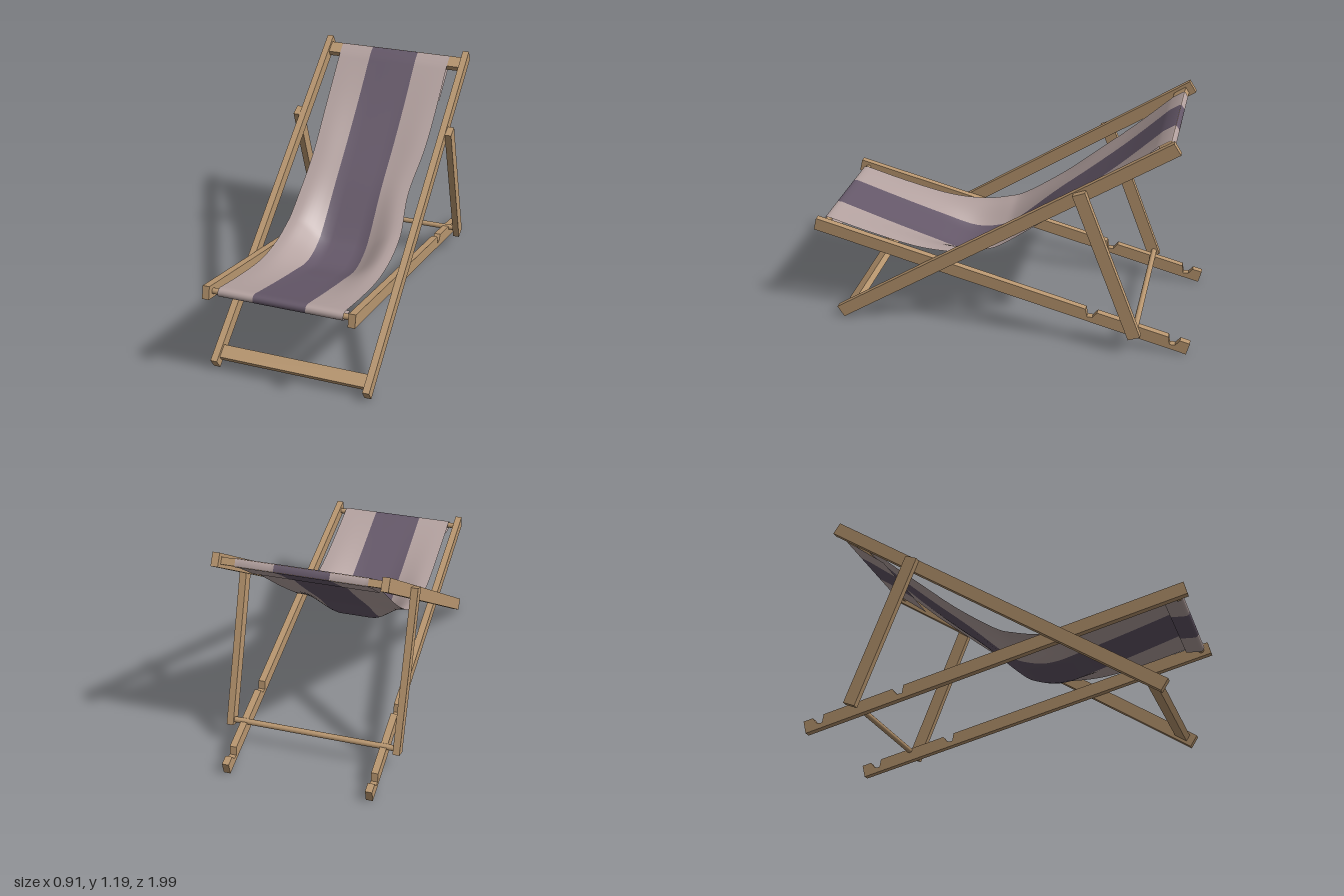
import * as THREE from 'three';

const wood = new THREE.MeshStandardMaterial({ color: 0xb8966f });
wood.name = 'wood';
const paleCloth = new THREE.MeshStandardMaterial({ color: 0xb4a2a0, side: THREE.DoubleSide });
paleCloth.name = 'pale cloth';
const darkCloth = new THREE.MeshStandardMaterial({ color: 0x655869, side: THREE.DoubleSide });
darkCloth.name = 'dark cloth';

// Straight beam in the side plane from a to b, given as [z, y]; notches are distances along its top edge
function beam(name, a, b, width, x, thickness, notches = []) {
  const start = new THREE.Vector2(...a);
  const dir = new THREE.Vector2(...b).sub(start);
  const length = dir.length();
  dir.normalize();
  const up = new THREE.Vector2(-dir.y, dir.x);
  if (up.y < 0) up.negate();
  const h = width / 2;
  const outline = [[0, -h], [0, h]];
  for (const s of notches) {
    outline.push([s, h], [s + 0.018, -0.008], [s + 0.045, -0.002], [s + 0.062, h]);
  }
  outline.push([length, h], [length, -h]);
  const shape = new THREE.Shape(outline.map(([s, t]) =>
    start.clone().addScaledVector(dir, s).addScaledVector(up, t)));
  const geometry = new THREE.ExtrudeGeometry(shape, { depth: thickness, bevelEnabled: false });
  geometry.translate(0, 0, -thickness / 2).rotateY(-Math.PI / 2);
  const mesh = new THREE.Mesh(geometry, wood);
  mesh.name = name;
  mesh.position.x = x;
  return mesh;
}

// Round rod across the chair
function rod(name, z, y, radius, width) {
  const mesh = new THREE.Mesh(
    new THREE.CylinderGeometry(radius, radius, width, 16).rotateZ(Math.PI / 2), wood);
  mesh.name = name;
  mesh.position.set(0, y, z);
  return mesh;
}

const BACK_BOTTOM = [0.868, 0.031], BACK_TOP = [-0.87, 1.162];
const TILT = Math.atan2(BACK_TOP[1] - BACK_BOTTOM[1], BACK_BOTTOM[0] - BACK_TOP[0]);
const TOP_BAR = [-0.813, 1.125], FRONT_ROD = [0.945, 0.522];

// Flat crossbar lying along the slope of the back frame
function crossbar(name, [z, y]) {
  const mesh = new THREE.Mesh(new THREE.BoxGeometry(0.77, 0.035, 0.07), wood);
  mesh.name = name;
  mesh.position.set(0, y, z);
  mesh.rotation.x = TILT;
  return mesh;
}

// Rows of the sling: each has a centre point and an edge point, as [z, y]
function slingRows() {
  const rows = [];
  const same = (z, y) => rows.push({ centre: new THREE.Vector2(z, y), edge: new THREE.Vector2(z, y) });
  const c = Math.cos(TILT), s = Math.sin(TILT);
  const aroundBar = (u, v) => [TOP_BAR[0] - u * c + v * s, TOP_BAR[1] + u * s + v * c];

  // Hem behind the top bar, then round it
  same(-0.63, 0.965);
  for (const [u, v] of [[-0.04, -0.021], [0.03, -0.021], [0.038, -0.014], [0.038, 0.014], [0.03, 0.021]]) {
    same(...aroundBar(u, v));
  }

  // Hanging seat, deeper along the middle than at the edges
  const topFront = aroundBar(-0.03, 0.021);
  const curve = (points) => new THREE.SplineCurve(points.map((p) => new THREE.Vector2(...p)));
  const centre = curve([topFront, [-0.58, 0.935], [-0.4, 0.775], [-0.2, 0.605], [0, 0.415], [0.1, 0.348],
    [0.25, 0.325], [0.45, 0.385], [0.7, 0.465], [0.935, 0.543]]);
  const edge = curve([topFront, [-0.58, 0.945], [-0.4, 0.795], [-0.2, 0.63], [0, 0.49], [0.1, 0.45],
    [0.25, 0.42], [0.45, 0.425], [0.7, 0.478], [0.935, 0.543]]);
  const steps = 54;
  for (let i = 0; i <= steps; i++) {
    rows.push({ centre: centre.getPoint(i / steps), edge: edge.getPoint(i / steps) });
  }

  // Round the front rod and back beneath it
  for (let i = 1; i <= 8; i++) {
    const a = Math.PI / 2 - (i / 8) * Math.PI * 0.95;
    same(FRONT_ROD[0] + 0.022 * Math.cos(a), FRONT_ROD[1] + 0.022 * Math.sin(a));
  }
  same(0.87, 0.505);
  return rows;
}

// One lengthwise stripe of the sling between x0 and x1
function stripe(name, rows, x0, x1, material) {
  const columns = 8;
  const geometry = new THREE.PlaneGeometry(1, 1, columns, rows.length - 1);
  const position = geometry.attributes.position;
  rows.forEach(({ centre, edge }, r) => {
    for (let i = 0; i <= columns; i++) {
      const x = x0 + ((x1 - x0) * i) / columns;
      const blend = THREE.MathUtils.smoothstep(Math.abs(x), 0.09, 0.28);
      const p = centre.clone().lerp(edge, blend);
      // The loose edges draw in slightly halfway up
      const pinch = x > 0
        ? 0.03 * Math.exp(-(((p.x + 0.17) / 0.16) ** 2))
        : 0.012 * Math.exp(-(((p.x + 0.3) / 0.2) ** 2));
      position.setXYZ(r * (columns + 1) + i, x - Math.sign(x) * pinch * blend, p.y, p.x);
    }
  });
  geometry.computeVertexNormals();
  const mesh = new THREE.Mesh(geometry, material);
  mesh.name = name;
  return mesh;
}

export function createModel() {
  const chair = new THREE.Group();
  chair.name = 'deckChair';

  // Mirrored side beams
  for (const [side, sign] of [['left', 1], ['right', -1]]) {
    chair.add(
      beam(side + 'BackRail', BACK_BOTTOM, BACK_TOP, 0.067, sign * 0.4025, 0.035),
      beam(side + 'SeatRail', [0.99, 0.533], [-0.988, 0.038], 0.067, sign * 0.3675, 0.035, [1.481, 1.925]),
      beam(side + 'Prop', [-0.413, 0.893], [-0.717, 0.107], 0.066, sign * 0.4375, 0.035),
    );
  }

  // Cross members
  chair.add(
    crossbar('topCrossbar', TOP_BAR),
    crossbar('bottomCrossbar', [0.81, 0.068]),
    rod('frontRod', ...FRONT_ROD, 0.015, 0.71),
    rod('propRod', -0.715, 0.134, 0.015, 0.85),
  );

  // Striped sling
  const sling = new THREE.Group();
  sling.name = 'sling';
  const rows = slingRows();
  sling.add(
    stripe('rightStripe', rows, -0.317, -0.137, paleCloth),
    stripe('middleStripe', rows, -0.137, 0.13, darkCloth),
    stripe('leftStripe', rows, 0.13, 0.317, paleCloth),
  );
  chair.add(sling);
  return chair;
}
